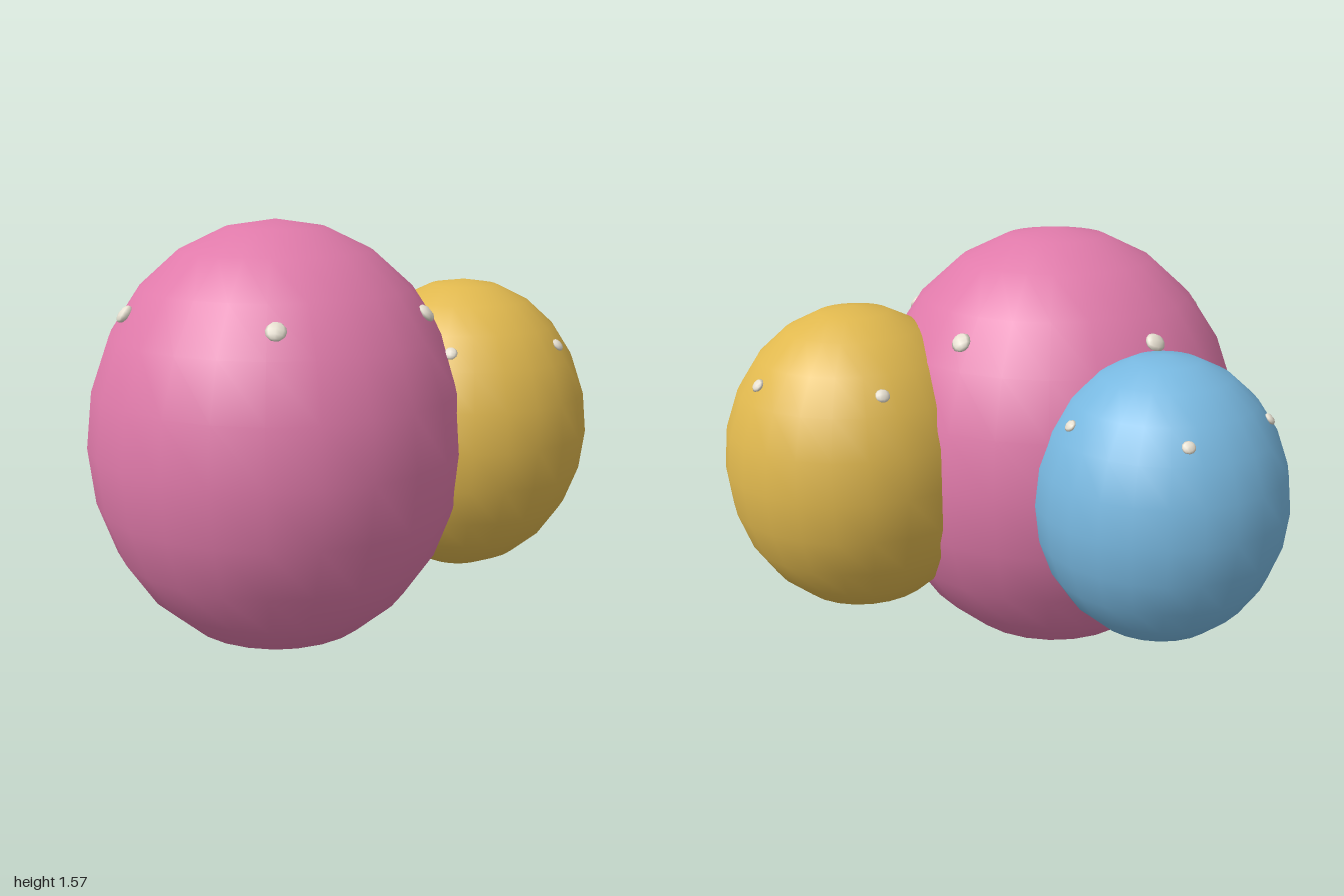
import * as THREE from 'three';

const material = (name, color) => {
  const m = new THREE.MeshStandardMaterial({ color });
  m.name = name;
  return m;
};

export function createModel() {
  const model = new THREE.Group();
  model.name = 'blobCluster';
  const cream = material('cream', 0xe6dfd0);

  // An upright egg-shaped body with a ring of five small flattened studs
  function addBlob(name, mat, x, z, radius, height, phase) {
    const blob = new THREE.Group();
    blob.name = name;
    blob.position.set(x, 0.79, z);

    const body = new THREE.Mesh(new THREE.SphereGeometry(1, 24, 12), mat);
    body.name = name + 'Body';
    body.scale.set(radius, height, radius);
    blob.add(body);

    const studGeometry = new THREE.SphereGeometry(radius * 0.051, 8, 6);
    for (let i = 0; i < 5; i++) {
      const a = phase + (i * Math.PI * 2) / 5;
      const stud = new THREE.Mesh(studGeometry, cream);
      stud.name = name + 'Stud';
      stud.position.set(Math.cos(a) * radius * 0.793, height * 0.609, Math.sin(a) * radius * 0.793);
      // Flat side lies along the body surface
      const outward = stud.position.clone().normalize();
      stud.quaternion.setFromUnitVectors(new THREE.Vector3(0, 0, 1), outward);
      stud.scale.z = 0.5;
      blob.add(stud);
    }
    model.add(blob);
  }

  addBlob('largeBlob', material('pink', 0xe07aaa), -0.08, 0.1, 0.68, 0.785, 0);
  addBlob('mediumBlob', material('yellow', 0xe0b84e), 0.52, -0.315, 0.472, 0.55, Math.PI / 12);
  addBlob('smallBlob', material('blue', 0x78b8e0), -0.582, -0.367, 0.418, 0.482, Math.PI / 6);
  return model;
}
